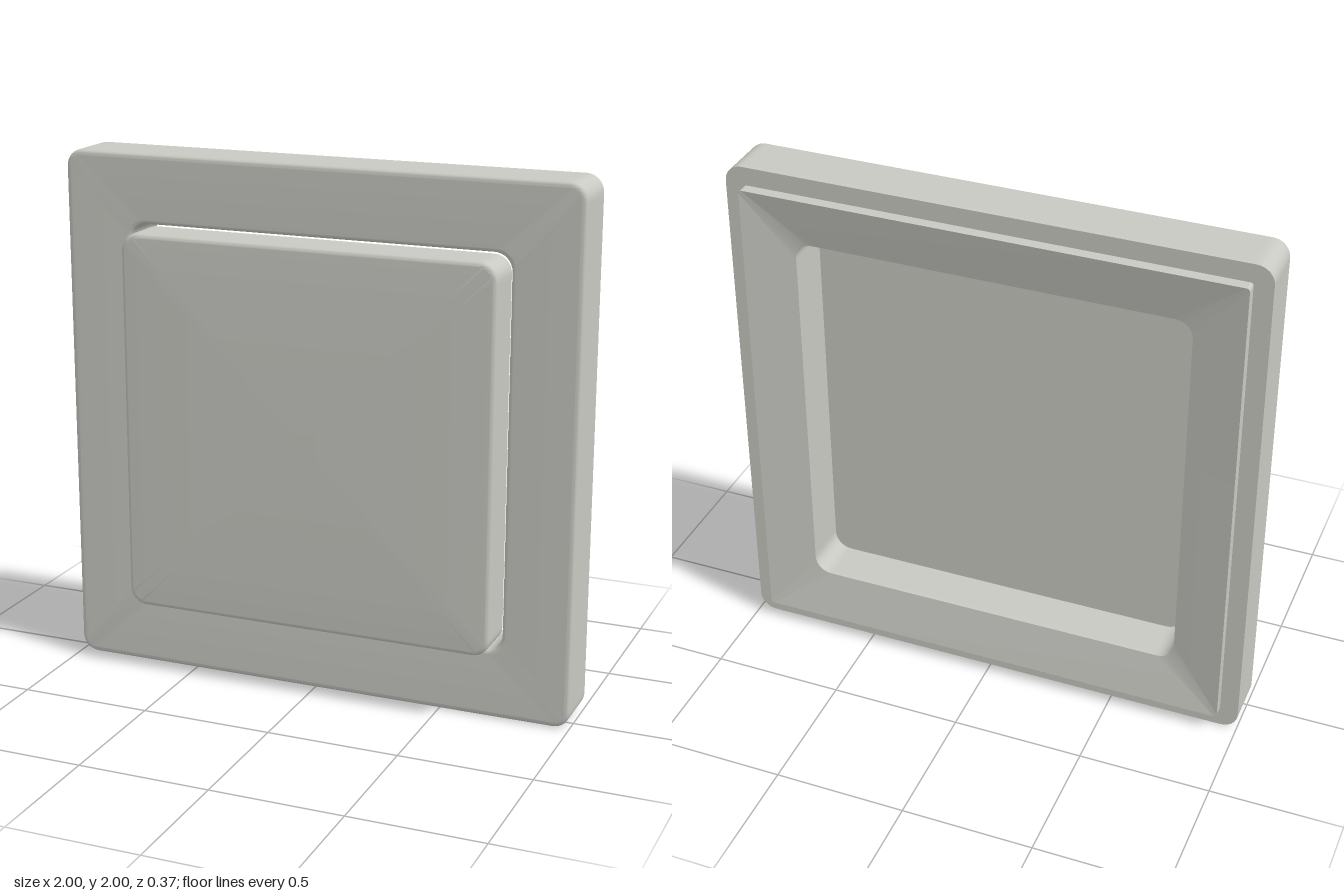
import * as THREE from 'three';
import { toCreasedNormals } from 'three/addons/utils/BufferGeometryUtils.js';

// Rounded square outline, counter-clockwise seen from the front
function outline([half, r, z]) {
  const pts = [], c = half - r, n = 8, e = r * 0.2;
  for (let k = 0; k < 4; k++) {
    const a0 = k * Math.PI / 2;
    const cx = c * (k === 0 || k === 3 ? 1 : -1);
    const cy = c * (k < 2 ? 1 : -1);
    const add = (a, t) => pts.push([
      cx + r * Math.cos(a) - t * Math.sin(a),
      cy + r * Math.sin(a) + t * Math.cos(a), z]);
    add(a0, -e);
    for (let i = 0; i <= n; i++) add(a0 + (i / n) * Math.PI / 2, 0);
    add(a0 + Math.PI / 2, e);
  }
  return pts;
}

// Skin a list of rings [half width, corner radius, z]
function loft(rings, closed) {
  const loops = rings.map(outline), n = loops[0].length, pos = [];
  const tri = (a, b, c) => pos.push(...a, ...b, ...c);
  const last = closed ? loops.length : loops.length - 1;
  for (let j = 0; j < last; j++) {
    const a = loops[j], b = loops[(j + 1) % loops.length];
    for (let i = 0; i < n; i++) {
      const k = (i + 1) % n;
      tri(a[i], a[k], b[k]);
      tri(a[i], b[k], b[i]);
    }
  }
  if (!closed) {
    const back = loops[0], front = loops[loops.length - 1];
    for (let i = 0; i < n; i++) {
      const k = (i + 1) % n;
      tri([0, 0, back[0][2]], back[k], back[i]);
      tri([0, 0, front[0][2]], front[i], front[k]);
    }
  }
  const g = new THREE.BufferGeometry();
  g.setAttribute('position', new THREE.Float32BufferAttribute(pos, 3));
  return toCreasedNormals(g, 0.5);
}

// Quarter-round edge from a side wall (at 'half') onto a front face (at z)
function fillet(half, corner, z, r, inner) {
  const rings = [], n = 5, s = inner ? 1 : -1;
  for (let i = 0; i <= n; i++) {
    const a = (i / n) * Math.PI / 2;
    const d = s * r * (1 - Math.cos(a));
    rings.push([half + d, corner + d, z - r * (1 - Math.sin(a))]);
  }
  const d = s * (r + 0.004);
  rings.push([half + d, corner + d, z]);
  return inner ? rings.reverse() : rings;
}

export function createModel() {
  const model = new THREE.Group();
  const plastic = new THREE.MeshStandardMaterial({ color: 0xc9c9c3 });
  plastic.name = 'warm grey plastic';

  // Frame: sloped back recess, raised rear lip, rounded rim, central opening
  const frame = new THREE.Mesh(loft([
    [0.738, 0.065, -0.147],
    [0.93, 0.012, -0.185],
    [0.93, 0.012, -0.142],
    [1, 0.065, -0.142],
    ...fillet(1, 0.065, 0.065, 0.018, false),
    ...fillet(0.738, 0.065, 0.065, 0.015, true),
  ], true), plastic);
  frame.name = 'frame';

  // Rocker: flat back, rounded front edge, very slightly domed face
  const dome = [];
  for (const t of [0.8, 0.6, 0.4, 0.2]) {
    dome.push([0.701 * t, 0.046 * t, 0.175 + 0.01 * (1 - t * t)]);
  }
  const rocker = new THREE.Mesh(loft([
    [0.723, 0.065, 0.01],
    ...fillet(0.723, 0.065, 0.175, 0.018, false),
    ...dome,
  ], false), plastic);
  rocker.name = 'rocker';

  model.add(frame, rocker);
  model.position.y = 1;
  const root = new THREE.Group();
  root.name = 'wallSwitch';
  model.name = 'switchBody';
  root.add(model);
  return root;
}
